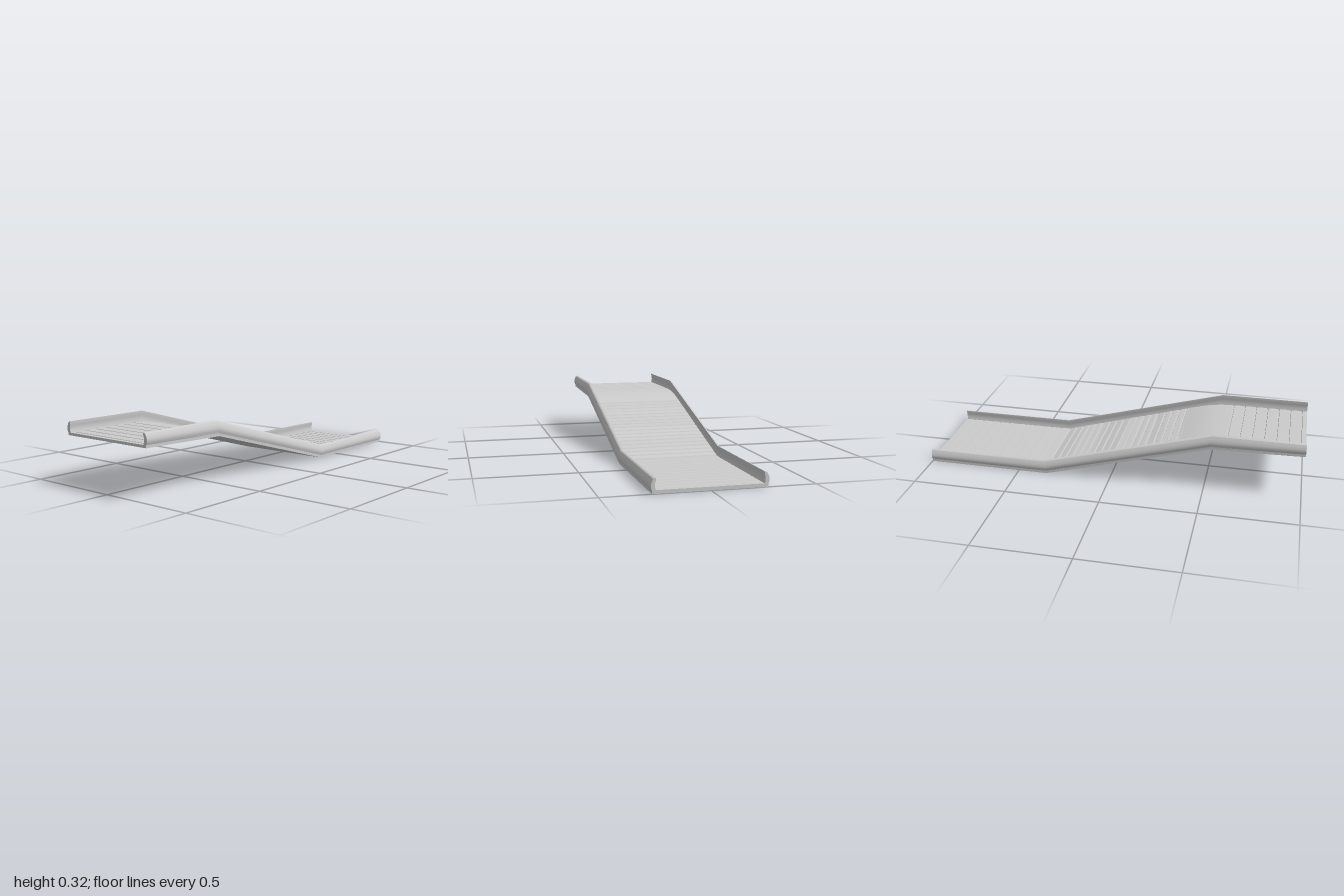
import * as THREE from 'three';
import { toCreasedNormals } from 'three/addons/utils/BufferGeometryUtils.js';

const HALF_WIDTH = 0.25;
const material = new THREE.MeshStandardMaterial({ color: 0xcccccc });

// Height of the belt surface: upper flat, rounded crest, slope, lower flat
function beltHeight(x) {
  if (x < -0.6) return 0.263;
  if (x < -0.4) {
    const t = (x + 0.6) / 0.2;
    return 0.263 - 0.0275 * t * t;
  }
  return Math.max(0.017, 0.2355 - 0.287 * (x + 0.4));
}

// Belt: side profile with narrow grooves between the slats
function makeBelt() {
  const shape = new THREE.Shape();
  shape.moveTo(-1, 0.25);
  shape.lineTo(-0.522, 0.24);
  shape.lineTo(0.345, 0);
  shape.lineTo(1, 0);
  shape.lineTo(1, 0.017);

  const grooves = [];
  for (let x = 0.95; x > 0.38; x -= 0.054) grooves.push(x);
  for (let x = 0.35; x > -0.36; x -= 0.0405) grooves.push(x);
  for (const x of [-0.36, -0.42, -0.47, -0.53]) grooves.push({ smooth: x });
  for (let x = -0.6; x > -0.99; x -= 0.062) grooves.push(x);

  for (const g of grooves) {
    if (g.smooth !== undefined) {
      shape.lineTo(g.smooth, beltHeight(g.smooth));
      continue;
    }
    const w = 0.005, depth = 0.004;
    shape.lineTo(g + w, beltHeight(g + w));
    shape.lineTo(g + w * 0.6, beltHeight(g) - depth);
    shape.lineTo(g - w * 0.6, beltHeight(g) - depth);
    shape.lineTo(g - w, beltHeight(g - w));
  }
  shape.lineTo(-1, 0.263);
  const geometry = new THREE.ExtrudeGeometry(shape, { depth: 2 * HALF_WIDTH, bevelEnabled: false });
  geometry.translate(0, 0, -HALF_WIDTH);
  return toCreasedNormals(geometry, 0.3);
}

// Rail cross-section: [distance from the centre line, height from 0 to 1]
const section = [
  [0.25, 0], [0.267, 0], [0.267, 0.2], [0.271, 0.33], [0.273, 0.46], [0.272, 0.6],
  [0.267, 0.8], [0.262, 0.93], [0.257, 0.98], [0.25, 1],
  [0.25, 0.86], [0.253, 0.68], [0.254, 0.5], [0.252, 0.3], [0.25, 0.2],
];

// Rail stations: bottom x, bottom y, top x, top y
const stations = [
  [-1, 0.25, -1, 0.318], [-0.52, 0.239, -0.537, 0.318],
  [0.345, 0, 0.36, 0.071], [1, 0, 1, 0.071],
];

// Rail: the section lofted through the mitred stations, capped at both ends
function makeRail(side) {
  const n = section.length;
  const points = [], index = [];
  for (const [bx, by, tx, ty] of stations) {
    for (const [z, h] of section) points.push(bx + (tx - bx) * h, by + (ty - by) * h, z * side);
  }
  const tri = (a, b, c) => (side > 0 ? index.push(a, b, c) : index.push(a, c, b));
  for (let s = 0; s < stations.length - 1; s++) {
    for (let i = 0; i < n; i++) {
      const j = (i + 1) % n;
      const a = s * n + i, b = s * n + j;
      tri(a, a + n, b);
      tri(b, a + n, b + n);
    }
  }
  const outline = section.map(([z, h]) => new THREE.Vector2(z, h));
  const last = (stations.length - 1) * n;
  for (const [a, b, c] of THREE.ShapeUtils.triangulateShape(outline, [])) {
    tri(a, b, c);
    tri(last + a, last + c, last + b);
  }
  const geometry = new THREE.BufferGeometry();
  geometry.setAttribute('position', new THREE.Float32BufferAttribute(new Float32Array(points), 3));
  geometry.setIndex(index);
  return toCreasedNormals(geometry, 0.4);
}

export function createModel() {
  const group = new THREE.Group();
  group.name = 'conveyorRamp';
  const add = (name, geometry, mat = material) => {
    const mesh = new THREE.Mesh(geometry, mat);
    mesh.name = name;
    group.add(mesh);
  };
  add('slattedBelt', makeBelt());
  const railMaterial = material.clone();
  railMaterial.side = THREE.DoubleSide;
  add('frontRail', makeRail(1), railMaterial);
  add('backRail', makeRail(-1), railMaterial);
  return group;
}
